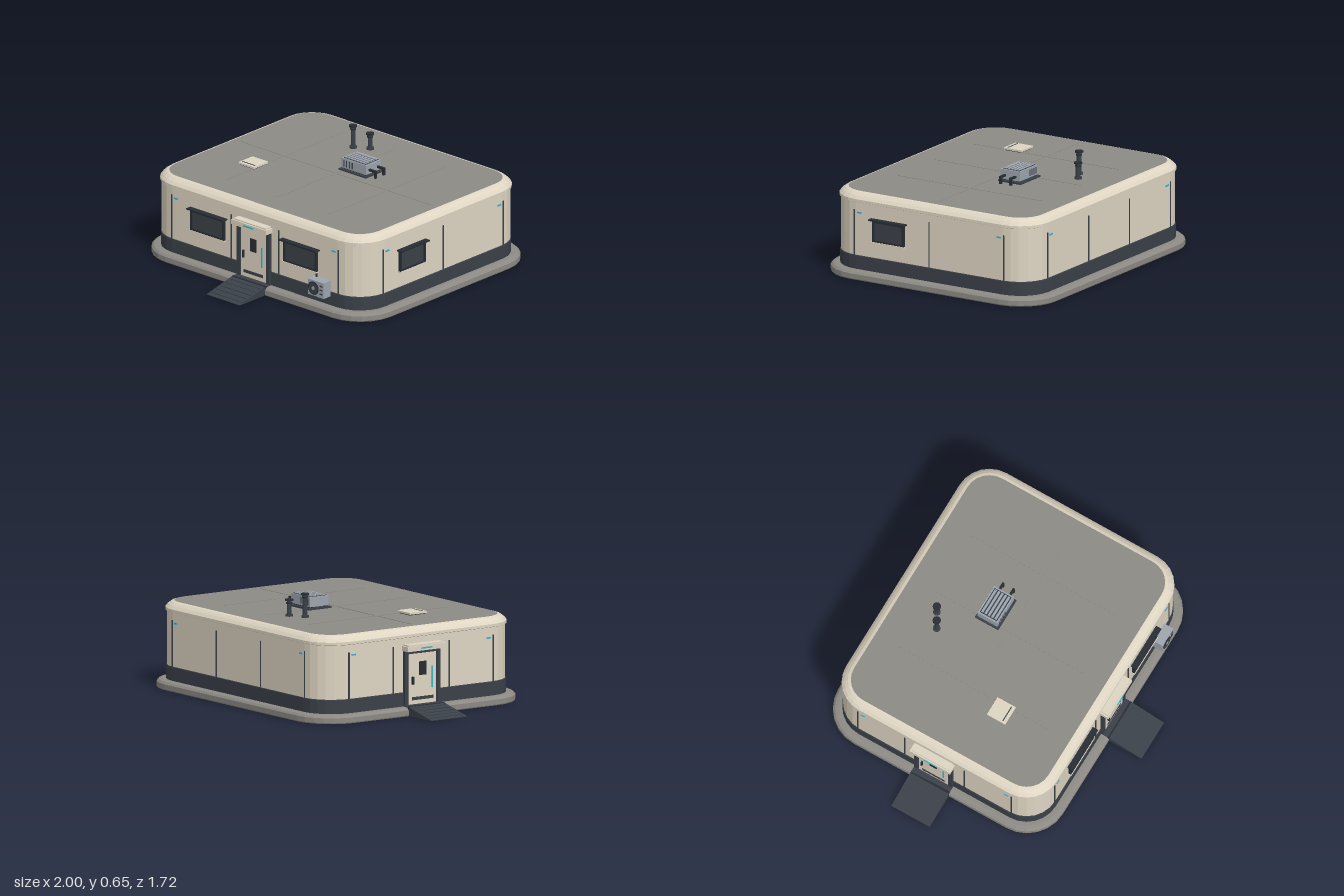
import * as THREE from 'three';

const paint = (name, color) => Object.assign(new THREE.MeshStandardMaterial({ color, flatShading: true }), { name });

export function createModel() {
  const cream = paint('cream panel', 0xded5c2);
  const stone = paint('warm grey', 0x8d8a84);
  const dark = paint('slate', 0x3b4149);
  const black = paint('dark slate', 0x282d34);
  const metal = paint('light metal', 0x9ea5ae);
  const cyan = paint('cyan light', 0x35b4cc);

  const CX = 0.108, CZ = -0.108, ROOF = 0.505;
  const HW = 0.834, HD = 0.694; // wall half width and half depth
  const model = new THREE.Group();
  model.name = 'shelter';

  const add = (parent, name, geo, mat, x = 0, y = 0, z = 0) => {
    const m = new THREE.Mesh(geo, mat);
    m.name = name;
    m.position.set(x, y, z);
    parent.add(m);
    return m;
  };
  // box given by its min and max corners
  const box = (parent, name, mat, x0, x1, y0, y1, z0, z1) =>
    add(parent, name, new THREE.BoxGeometry(x1 - x0, y1 - y0, z1 - z0), mat,
      (x0 + x1) / 2, (y0 + y1) / 2, (z0 + z1) / 2);
  const rod = (parent, name, mat, r, h, x, y, z) =>
    add(parent, name, new THREE.CylinderGeometry(r, r, h, 12), mat, x, y, z);
  const group = (name, x = 0, y = 0, z = 0) => {
    const g = new THREE.Group();
    g.name = name;
    g.position.set(x, y, z);
    model.add(g);
    return g;
  };

  // rounded rectangle outline, seen from above
  const outline = (hw, hd, r, y) => {
    const pts = [];
    [[1, 1], [-1, 1], [-1, -1], [1, -1]].forEach(([sx, sz], c) => {
      for (let i = 0; i <= 6; i++) {
        const a = (c + i / 6) * Math.PI / 2;
        pts.push([sx * (hw - r) + r * Math.cos(a), y, sz * (hd - r) + r * Math.sin(a)]);
      }
    });
    return pts;
  };
  // skin over stacked outlines: each level is [inset, y]; optional flat caps
  const loft = (name, mat, hw, hd, r, levels, top, bottom) => {
    const rings = levels.map(([d, y]) => outline(hw - d, hd - d, r - d, y));
    const v = [], n = rings[0].length;
    for (let i = 0; i < n; i++) {
      const j = (i + 1) % n;
      for (let k = 0; k < rings.length - 1; k++) {
        const a = rings[k][i], b = rings[k][j], c = rings[k + 1][j], d = rings[k + 1][i];
        v.push(...a, ...c, ...b, ...a, ...d, ...c);
      }
      const t = rings[rings.length - 1], b = rings[0];
      if (top) v.push(0, t[0][1], 0, ...t[j], ...t[i]);
      if (bottom) v.push(0, b[0][1], 0, ...b[i], ...b[j]);
    }
    const g = new THREE.BufferGeometry();
    g.setAttribute('position', new THREE.Float32BufferAttribute(v, 3));
    g.computeVertexNormals();
    return add(model, name, g, mat, CX, 0, CZ);
  };

  // shell: plinth with recessed underside, skirt, walls, roof rim and roof deck
  loft('plinth', stone, 0.89, 0.75, 0.24,
    [[0.016, 0.046], [0.007, 0], [0.003, 0], [0, 0.006], [0, 0.034], [0.012, 0.046], [0.03, 0.05], [0.07, 0.05]], false, true);
  loft('skirtBand', dark, HW + 0.004, HD + 0.004, 0.194, [[0, 0.049], [0, 0.13], [0.004, 0.133]]);
  loft('walls', cream, HW, HD, 0.19, [[0, 0.128], [0, 0.452]]);
  loft('roofRim', cream, HW + 0.008, HD + 0.008, 0.198,
    [[0.012, 0.447], [0, 0.452], [0, 0.468], [0.016, 0.486], [0.036, 0.5], [0.053, ROOF]]);
  loft('roofDeck', stone, HW - 0.045, HD - 0.045, 0.145, [[0, ROOF - 0.002], [0, ROOF]], true);
  const seams = group('roofSeams', CX, ROOF, CZ);
  box(seams, 'longSeam', stone, -0.74, 0.74, 0, 0.002, -0.004, 0.004);
  for (const x of [-0.4, 0, 0.4]) box(seams, 'crossSeam', stone, x - 0.004, x + 0.004, 0, 0.002, -0.5, 0.5);

  // wall groups: local z points outwards, local x runs along the wall
  const side = (name, x, z, turn, joints) => {
    const g = group(name, x, 0, z);
    g.rotation.y = turn;
    for (const s of joints) box(g, 'panelJoint', dark, s - 0.004, s + 0.004, 0.13, 0.405, -0.004, 0.003);
    const end = Math.max(...joints) - 0.034;
    for (const s of [-end, end]) box(g, 'markerLight', cyan, s - 0.014, s + 0.014, 0.384, 0.393, -0.002, 0.005);
    return g;
  };
  const front = side('frontWall', CX, CZ + HD, 0, [-0.648, -0.185, 0.185, 0.648]);
  side('backWall', CX, CZ - HD, Math.PI, [-0.648, -0.216, 0.216, 0.648]);
  const left = side('leftWall', CX + HW, CZ, Math.PI / 2, [-0.514, 0, 0.514]);
  const right = side('rightWall', CX - HW, CZ, -Math.PI / 2, [-0.514, -0.2, 0.2, 0.514]);

  // window with frame, sill and hood
  const addWindow = (wall, x, w) => {
    const g = new THREE.Group();
    g.name = 'window';
    g.position.x = x;
    wall.add(g);
    const h = w / 2;
    box(g, 'glass', dark, -h + 0.01, h - 0.01, 0.24, 0.35, 0, 0.008);
    for (const s of [-1, 1]) {
      const c = s * (h - 0.004);
      box(g, 'frameSide', black, c - 0.006, c + 0.006, 0.232, 0.356, 0, 0.016);
    }
    box(g, 'frameTop', black, -h, h, 0.346, 0.356, 0, 0.016);
    box(g, 'frameBottom', black, -h, h, 0.232, 0.242, 0, 0.016);
    box(g, 'sill', cream, -h - 0.006, h + 0.006, 0.224, 0.232, 0, 0.02);
    box(g, 'hood', black, -h - 0.016, h + 0.016, 0.36, 0.368, -0.002, 0.036);
  };
  addWindow(front, -0.36, 0.256);
  addWindow(front, 0.36, 0.256);
  addWindow(left, -0.275, 0.214);

  // entrance with door, canopy, landing and ramp
  const addEntrance = (wall) => {
    const g = new THREE.Group();
    g.name = 'entrance';
    wall.add(g);
    for (const s of [-1, 1]) box(g, 'jamb', dark, s * 0.115 - 0.012, s * 0.115 + 0.012, 0.05, 0.375, 0, 0.018);
    box(g, 'lintel', dark, -0.127, 0.127, 0.355, 0.378, 0, 0.018);
    box(g, 'doorSurround', dark, -0.105, 0.105, 0.05, 0.36, 0, 0.008);
    box(g, 'door', cream, -0.096, 0.096, 0.058, 0.352, 0, 0.014);
    box(g, 'doorWindow', black, -0.024, 0.024, 0.225, 0.305, 0.012, 0.018);
    box(g, 'kickPlate', dark, -0.075, 0.075, 0.082, 0.1, 0.012, 0.017);
    box(g, 'handle', black, -0.078, -0.068, 0.175, 0.22, 0.012, 0.028);
    box(g, 'lightStrip', cyan, 0.064, 0.072, 0.145, 0.27, 0.012, 0.02);
    box(g, 'canopy', cream, -0.135, 0.135, 0.375, 0.404, -0.002, 0.056);
    box(g, 'canopyCap', cream, -0.125, 0.125, 0.404, 0.412, -0.002, 0.048);
    box(g, 'canopyLight', cyan, -0.038, 0.038, 0.386, 0.394, 0.055, 0.06);
    box(g, 'landing', black, -0.128, 0.128, 0.002, 0.056, 0.045, 0.058);
    box(g, 'threshold', dark, -0.128, 0.128, 0.048, 0.056, 0, 0.05);

    const wedge = new THREE.Shape([[0.056, 0.002], [0.274, 0.002], [0.274, 0.006], [0.056, 0.054]]
      .map(([a, b]) => new THREE.Vector2(a, b)));
    const ramp = new THREE.ExtrudeGeometry(wedge, { depth: 0.256, bevelEnabled: false });
    ramp.translate(0, 0, -0.128).rotateY(-Math.PI / 2);
    add(g, 'ramp', ramp, dark);
    const slope = Math.atan2(0.048, 0.218);
    for (let i = 0; i < 5; i++) {
      const z = 0.085 + i * 0.04;
      const y = 0.054 - (z - 0.056) * Math.tan(slope);
      add(g, 'tread', new THREE.BoxGeometry(0.236, 0.004, 0.005), dark, 0, y + 0.001, z).rotation.x = slope;
    }
  };
  addEntrance(front);
  addEntrance(right);

  // wall-mounted cooling unit
  const ac = group('wallCooler', 0.638, 0.153, 0.62);
  box(ac, 'casing', metal, -0.062, 0.062, -0.048, 0.048, -0.032, 0.03);
  add(ac, 'fanGrille', new THREE.CylinderGeometry(0.038, 0.038, 0.006, 20), dark, -0.016, 0, 0.031).rotation.x = Math.PI / 2;
  add(ac, 'fanRing', new THREE.TorusGeometry(0.038, 0.003, 6, 20), black, -0.016, 0, 0.033);
  add(ac, 'fanHub', new THREE.CylinderGeometry(0.011, 0.011, 0.006, 12), metal, -0.016, 0, 0.034).rotation.x = Math.PI / 2;
  for (const y of [-0.024, 0, 0.024]) box(ac, 'vent', dark, 0.032, 0.052, y - 0.004, y + 0.004, 0.028, 0.033);
  rod(ac, 'pipe', black, 0.006, 0.08, -0.042, 0.08, -0.024);

  // rooftop cooling unit
  const unit = group('roofUnit', 0.188, ROOF, -0.237);
  box(unit, 'tray', dark, -0.105, 0.105, 0, 0.01, -0.078, 0.078);
  for (const z of [-0.05, 0.05]) box(unit, 'rail', black, -0.09, 0.09, 0.01, 0.018, z - 0.01, z + 0.01);
  box(unit, 'casing', metal, -0.095, 0.095, 0.016, 0.074, -0.066, 0.066);
  box(unit, 'topGrille', dark, -0.085, 0.085, 0.073, 0.076, -0.057, 0.057);
  for (let i = 0; i < 5; i++) {
    const z = -0.044 + i * 0.022;
    box(unit, 'slat', metal, -0.08, 0.08, 0.075, 0.079, z - 0.007, z + 0.007);
  }
  for (const s of [-1, 1]) for (let i = 0; i < 4; i++) {
    const x = -0.075 + i * 0.022;
    box(unit, 'sideVent', dark, x - 0.003, x + 0.003, 0.026, 0.064, s * 0.067 - 0.002, s * 0.067 + 0.002);
  }
  for (const z of [-0.035, 0.035]) {
    box(unit, 'pipe', black, 0.09, 0.148, 0.034, 0.046, z - 0.007, z + 0.007);
    box(unit, 'pipeDrop', black, 0.135, 0.149, 0, 0.046, z - 0.007, z + 0.007);
  }

  // vent stacks
  for (const [x, z, h] of [[-0.087, -0.47, 0.14], [0, -0.52, 0.1]]) {
    const g = group('ventStack', x, ROOF, z);
    rod(g, 'flange', dark, 0.022, 0.012, 0, 0.006, 0);
    rod(g, 'pipe', dark, 0.014, h, 0, h / 2, 0);
    rod(g, 'collar', black, 0.018, 0.008, 0, h - 0.022, 0);
    rod(g, 'cap', black, 0.024, 0.01, 0, h - 0.004, 0);
  }

  // roof hatch
  const hatch = group('roofHatch', -0.338, ROOF, 0.11);
  box(hatch, 'curb', dark, -0.056, 0.056, 0, 0.006, -0.056, 0.056);
  box(hatch, 'lid', cream, -0.061, 0.061, 0.005, 0.016, -0.061, 0.061);
  box(hatch, 'grip', dark, -0.05, 0.05, 0.015, 0.018, 0.036, 0.042);

  return model;
}
